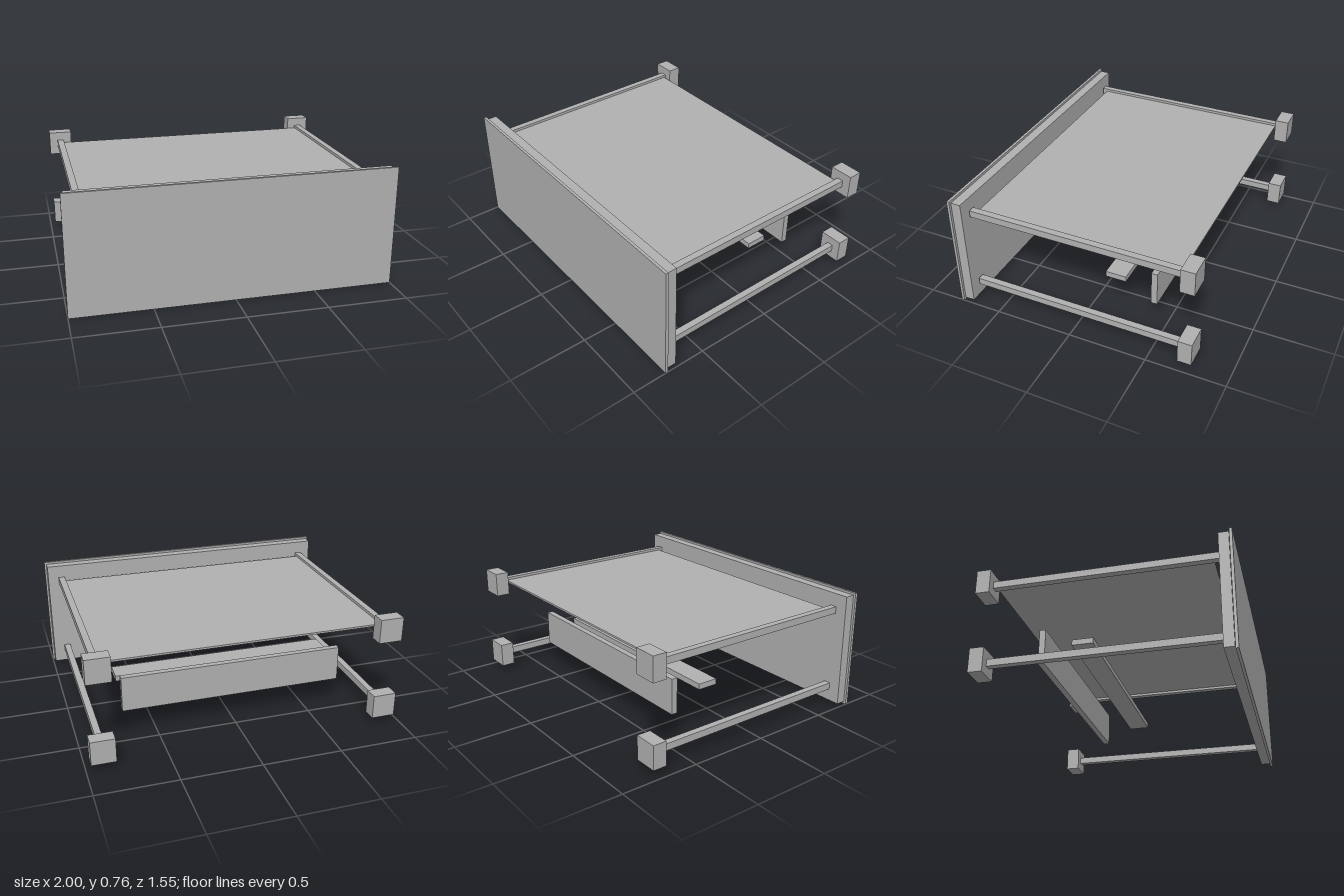
import * as THREE from 'three';

export function createModel() {
  const group = new THREE.Group();
  const grey = new THREE.MeshStandardMaterial({ color: 0xb0b0b0 });
  grey.name = 'grey';

  // Box given by its lower and upper limits on each axis
  function box(name, [x0, x1], [y0, y1], [z0, z1]) {
    const mesh = new THREE.Mesh(new THREE.BoxGeometry(x1 - x0, y1 - y0, z1 - z0), grey);
    mesh.position.set((x0 + x1) / 2, (y0 + y1) / 2, (z0 + z1) / 2);
    mesh.name = name;
    group.add(mesh);
  }

  // Front: thin face plate with a thicker backing panel
  box('facePlate', [-1, 1], [0, 0.757], [0.757, 0.775]);
  box('backingPanel', [-0.987, 0.987], [0.017, 0.744], [0.692, 0.754]);

  // Four rails, each ending in a block at the back
  for (const side of [-1, 1]) {
    const span = (a, b) => (side > 0 ? [a, b] : [-b, -a]);
    for (const y of [0.12, 0.641]) {
      box('rail', span(0.874, 0.916), [y - 0.022, y + 0.022], [-0.687, 0.685]);
      box('endBlock', span(0.82, 0.97), [y - 0.077, y + 0.077], [-0.775, -0.687]);
    }
  }

  // Thin sheet between the upper rails
  box('topSheet', [-0.872, 0.872], [0.635, 0.647], [-0.674, 0.652]);

  // Crosswise boards inside
  box('flatBoard', [-0.712, 0.712], [0.281, 0.317], [-0.245, -0.112]);
  box('uprightBoard', [-0.715, 0.715], [0.18, 0.406], [-0.452, -0.413]);

  return group;
}
